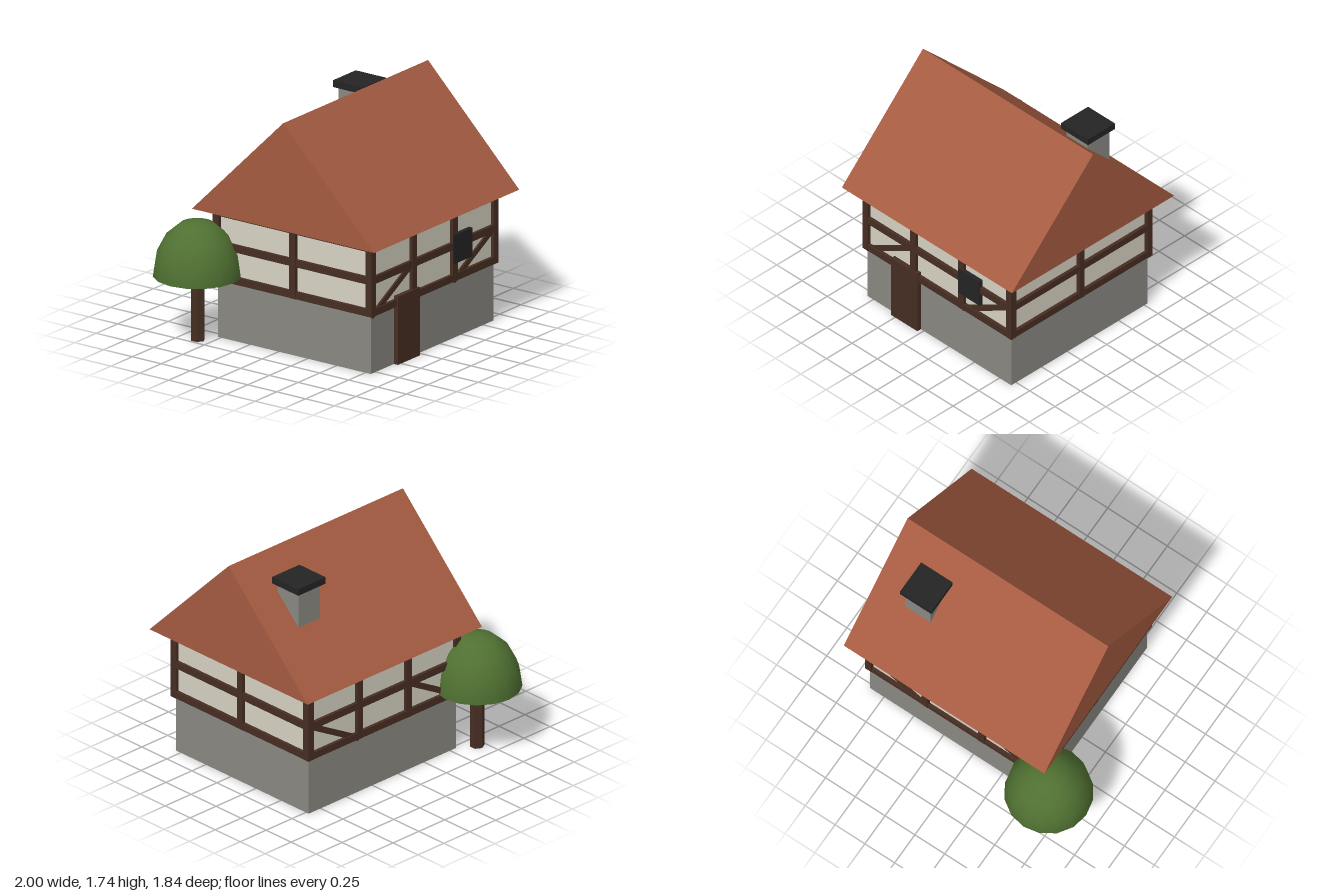
import * as THREE from 'three';

const mat = (name, color, flatShading = false) => {
  const m = new THREE.MeshStandardMaterial({ color, flatShading });
  m.name = name;
  return m;
};

export function createModel() {
  const model = new THREE.Group();
  model.name = 'timberCottage';

  const stone = mat('stone', 0x8a8882);
  const plaster = mat('plaster', 0xd7d2c3);
  const wood = mat('timber', 0x472e23, true);
  const tile = mat('roofTile', 0xa55b41);
  const dark = mat('charcoal', 0x242424);
  const leaf = mat('leaf', 0x507132);

  const add = (name, geometry, material, x, y, z, parent = model) => {
    const mesh = new THREE.Mesh(geometry, material);
    mesh.name = name;
    mesh.position.set(x, y, z);
    parent.add(mesh);
    return mesh;
  };
  const box = (name, w, h, d, material, x, y, z, parent) =>
    add(name, new THREE.BoxGeometry(w, h, d), material, x, y, z, parent);

  // Walls: the house sits off the origin to leave room for the tree
  const cx = 0.155, cz = 0.135, W = 1.422, D = 1.325;
  const y0 = 0.425, y1 = 0.953, H = y1 - y0, t = 0.053;
  box('stoneBase', W, y0, D, stone, cx, y0 / 2, cz);
  box('plasterWall', W, H, D, plaster, cx, y0 + H / 2, cz);

  // Timber frame, centred on the wall planes
  const frame = new THREE.Group();
  frame.name = 'timberFrame';
  frame.position.set(cx, 0, cz);
  model.add(frame);
  const railYs = [y0 + t / 2, 0.687, y1 - t / 2];
  const bay = W / 3, rise = 0.687 - y0;
  for (const s of [-1, 1]) {
    for (let i = 0; i < 4; i++)
      box('post', t, H, t, wood, -W / 2 + i * bay, y0 + H / 2, s * D / 2, frame);
    box('sidePost', t, H, t, wood, s * W / 2, y0 + H / 2, 0, frame);
    for (const y of railYs) {
      box('longRail', W + t, t, t - 0.004, wood, 0, y, s * D / 2, frame);
      box('sideRail', t - 0.004, t, D + t - 0.004, wood, s * W / 2, y, 0, frame);
    }
    // Braces rise across the two outer bays
    for (const i of [0, 2]) {
      const brace = box('brace', Math.hypot(bay, rise), 0.042, 0.03, wood,
        -W / 2 + (i + 0.5) * bay, y0 + rise / 2, s * D / 2, frame);
      brace.rotation.z = Math.atan2(rise, bay);
    }
  }

  // Door and window
  box('door', 0.26, 0.5, 0.05, wood, -0.159, 0.25, 0.807);
  box('window', 0.217, 0.212, 0.04, dark, 0.475, 0.662, 0.807);

  // Solid gable roof, extruded along x
  const gable = new THREE.Shape();
  gable.moveTo(-0.79, 0);
  gable.lineTo(0.79, 0);
  gable.lineTo(0, 0.79);
  gable.closePath();
  const roofGeo = new THREE.ExtrudeGeometry(gable, { depth: 1.684, bevelEnabled: false });
  roofGeo.translate(0, 0, -0.842);
  roofGeo.rotateY(Math.PI / 2);
  add('roof', roofGeo, tile, 0.158, 0.95, 0.133);

  // Chimney
  box('chimneyStack', 0.21, 0.49, 0.21, stone, 0.628, 1.345, -0.183);
  box('chimneyCap', 0.265, 0.05, 0.262, dark, 0.628, 1.613, -0.184);

  // Tree with a half-dome crown
  const tx = -0.688, tz = -0.608;
  add('treeTrunk', new THREE.CylinderGeometry(0.052, 0.052, 0.5, 6), wood, tx, 0.25, tz + 0.005);
  const dome = new THREE.SphereGeometry(0.312, 16, 4, 0, Math.PI * 2, 0, Math.PI / 2);
  dome.scale(1, 0.407 / 0.312, 1);
  add('treeCrown', dome, leaf, tx, 0.477, tz);
  add('treeCrownBase', new THREE.CircleGeometry(0.312, 16).rotateX(Math.PI / 2), leaf, tx, 0.477, tz);

  return model;
}
